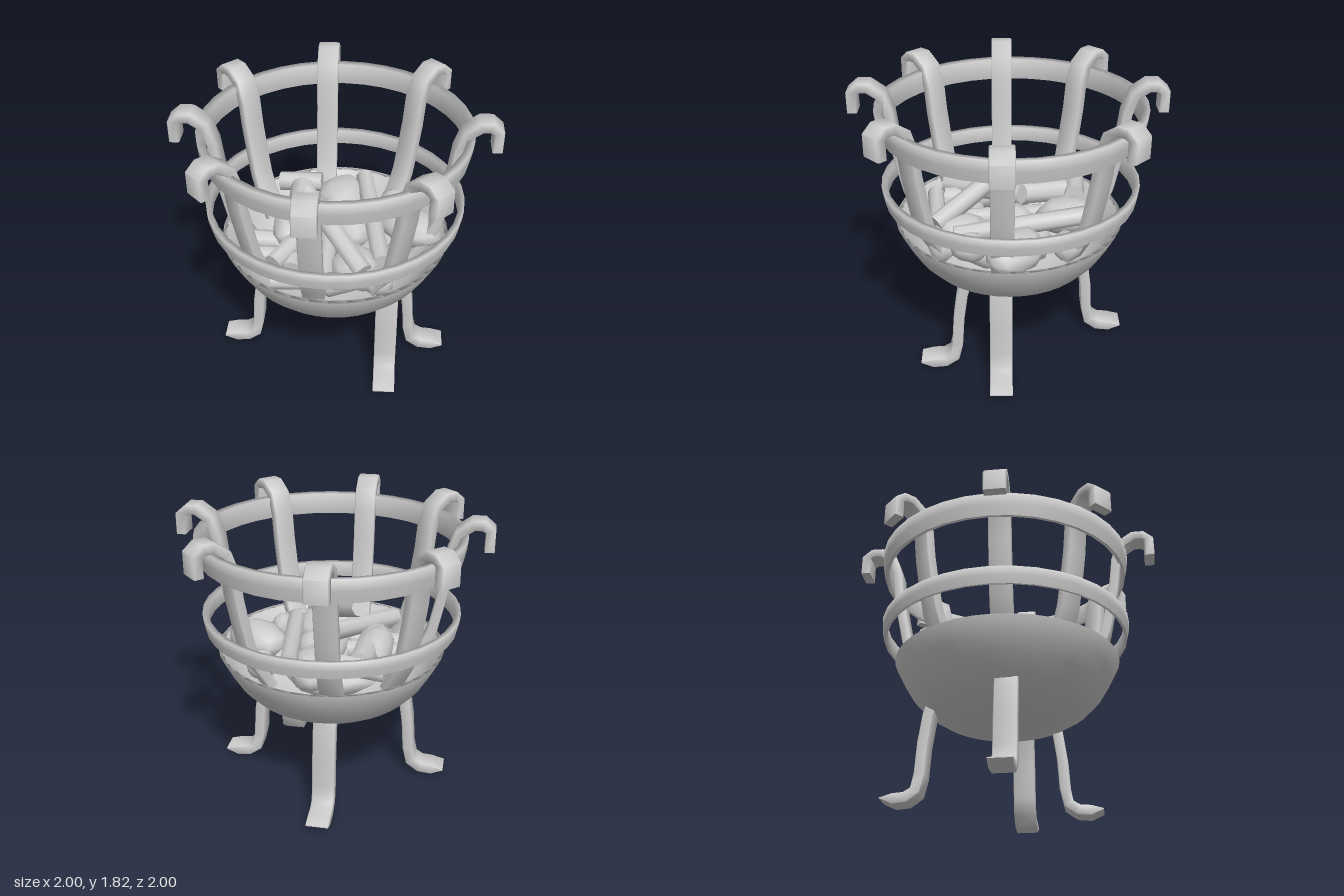
import * as THREE from 'three';
import { mergeVertices, toCreasedNormals } from 'three/addons/utils/BufferGeometryUtils.js';

const material = new THREE.MeshStandardMaterial({ color: 0xcccccc, side: THREE.DoubleSide });

function add(parent, name, geometry, x = 0, y = 0, z = 0) {
  const mesh = new THREE.Mesh(geometry, material);
  mesh.name = name;
  mesh.position.set(x, y, z);
  parent.add(mesh);
  return mesh;
}

// Flat iron bar with slightly softened edges, swept along a path in the local x-y plane
function barGeometry(path, halfWidth, halfThick, tipScale = 1) {
  const section = [[1, 0.92], [0.8, 1], [-0.8, 1], [-1, 0.92], [-1, -0.92], [-0.8, -1], [0.8, -1], [1, -0.92]];
  const n = section.length, last = path.length - 1, pos = [], index = [];
  path.forEach(([x, y], i) => {
    const a = path[Math.max(i - 1, 0)], b = path[Math.min(i + 1, last)];
    const t = new THREE.Vector2(b[0] - a[0], b[1] - a[1]).normalize();
    const thick = halfThick * (i === last ? tipScale : 1);
    for (const [v, u] of section) pos.push(x - t.y * v * thick, y + t.x * v * thick, u * halfWidth);
  });
  for (let i = 0; i < last; i++) {
    for (let j = 0; j < n; j++) {
      const a = i * n + j, b = i * n + (j + 1) % n;
      index.push(a, b, b + n, a, b + n, a + n);
    }
  }
  for (let j = 1; j < n - 1; j++) {
    index.push(0, j + 1, j, last * n, last * n + j, last * n + j + 1);
  }
  const geometry = new THREE.BufferGeometry();
  geometry.setAttribute('position', new THREE.Float32BufferAttribute(pos, 3));
  geometry.setIndex(index);
  return toCreasedNormals(geometry, 1.1);
}

const lathe = (points, segments) => new THREE.LatheGeometry(points.map(p => new THREE.Vector2(...p)), segments);

// Lumpy coal: a coarse sphere pushed in and out by a few sine waves
function coalGeometry(seed) {
  let geometry = new THREE.IcosahedronGeometry(1, 1);
  geometry.deleteAttribute('normal');
  geometry.deleteAttribute('uv');
  geometry = mergeVertices(geometry, 1e-3);
  const p = geometry.attributes.position, v = new THREE.Vector3();
  for (let i = 0; i < p.count; i++) {
    v.fromBufferAttribute(p, i);
    const k = 1 + 0.07 * Math.sin(3 * v.x + seed) + 0.08 * Math.sin(4 * v.y + 2 * seed) * Math.cos(3 * v.z + seed);
    p.setXYZ(i, v.x * k, v.y * k, v.z * k);
  }
  geometry.computeVertexNormals();
  return geometry;
}

function log(parent, from, to, radius) {
  const a = new THREE.Vector3(...from), b = new THREE.Vector3(...to);
  const dir = b.clone().sub(a);
  const geometry = toCreasedNormals(new THREE.CylinderGeometry(radius, radius, dir.length(), 8), 1);
  const mesh = add(parent, 'log', geometry, ...a.add(b).multiplyScalar(0.5).toArray());
  mesh.quaternion.setFromUnitVectors(new THREE.Vector3(0, 1, 0), dir.normalize());
}

export function createModel() {
  const model = new THREE.Group();
  model.name = 'fireBasket';

  // Bowl with a thin wall
  add(model, 'bowl', lathe([
    [0, 0.498], [0.14, 0.505], [0.29, 0.535], [0.43, 0.585], [0.54, 0.655], [0.62, 0.74], [0.68, 0.84], [0.735, 0.95],
    [0.705, 0.945], [0.65, 0.845], [0.59, 0.76], [0.51, 0.685], [0.41, 0.62], [0.27, 0.57], [0, 0.535],
  ], 40), 0, 0, -0.005);

  // Two flared hoops with a straight inner face
  const hoop = (r0, y0, r1, y1, inner) => lathe([
    [r0, y0], [(r0 + r1) / 2 + 0.004, (y0 + y1) / 2], [r1, y1], [inner, y1 - 0.005], [inner, y0 + 0.005], [r0, y0],
  ], 36);
  add(model, 'upperHoop', hoop(0.82, 1.58, 0.842, 1.728, 0.795), 0, 0, -0.02);
  add(model, 'lowerHoop', hoop(0.805, 1.11, 0.822, 1.22, 0.785), -0.003, 0, -0.015);

  // Eight upright straps that hook outward over the upper hoop
  const strap = barGeometry([
    [0.51, 0.82], [0.55, 0.89], [0.605, 0.98], [0.652, 1.1], [0.688, 1.27], [0.722, 1.45], [0.742, 1.62],
    [0.785, 1.745], [0.865, 1.8], [0.925, 1.8], [0.968, 1.768], [0.968, 1.64],
  ], 0.07, 0.031);
  const strapCentres = [[0, 0.04], [-0.03, -0.03], [-0.1, 0], [-0.07, 0.06]];
  for (let i = 0; i < 8; i++) {
    const [x, z] = strapCentres[i % 4];
    add(model, 'hookedStrap', strap, x, 0, z).rotation.y = i * Math.PI / 4;
  }

  // Four legs with turned-out, pointed feet; the local origin is the toe
  const leg = barGeometry([
    [-0.305, 0.66], [-0.285, 0.59], [-0.258, 0.4], [-0.245, 0.2], [-0.222, 0.095], [-0.16, 0.052], [-0.08, 0.045], [0, 0.052],
  ], 0.072, 0.035, 0.1);
  const legs = [[0.755, 0.05, 0], [-0.05, -0.785, 1], [-0.775, 0.05, 2], [0.355, 0.58, 3]];
  for (const [x, z, turn] of legs) add(model, 'leg', leg, x, 0, z).rotation.y = turn * Math.PI / 2;

  // Firewood: flat-lying pieces and two leaning on top
  const fuel = new THREE.Group();
  fuel.name = 'fuel';
  model.add(fuel);
  log(fuel, [-0.41, 1.0, -0.46], [-0.12, 1.02, -0.44], 0.065);
  log(fuel, [-0.25, 1.0, -0.4], [-0.25, 0.92, 0.42], 0.083);
  log(fuel, [0.17, 1.03, -0.51], [0.31, 0.96, 0.34], 0.06);
  log(fuel, [-0.51, 0.88, 0.22], [-0.08, 0.88, 0.22], 0.065);
  log(fuel, [-0.53, 0.88, 0.06], [-0.1, 0.87, 0.06], 0.07);
  log(fuel, [-0.37, 0.91, 0.5], [0.1, 0.89, 0.45], 0.055);
  log(fuel, [-0.04, 0.93, -0.22], [-0.04, 0.88, 0.43], 0.06);
  log(fuel, [-0.19, 1.22, -0.02], [0.2, 0.98, 0.46], 0.063);
  log(fuel, [-0.03, 1.07, -0.09], [-0.36, 0.98, 0.42], 0.063);

  // Coals: position, radii and turn about y
  const coals = [
    [0.02, 0.95, -0.38, 0.165, 0.12, 0.21, 0], [0.49, 0.96, -0.04, 0.25, 0.11, 0.15, -0.6],
    [-0.29, 0.96, -0.03, 0.12, 0.11, 0.22, 0], [0.38, 0.93, -0.36, 0.09, 0.1, 0.1, 0.4],
    [0.14, 0.9, 0.32, 0.16, 0.12, 0.18, 0.4], [0.39, 0.92, 0.25, 0.08, 0.1, 0.11, 0],
    [0.1, 0.92, -0.04, 0.13, 0.13, 0.15, 0.8], [0.29, 0.88, 0.42, 0.1, 0.1, 0.09, 0.2],
    [-0.02, 0.74, 0.05, 0.34, 0.13, 0.34, 0],
  ];
  coals.forEach(([x, y, z, rx, ry, rz, turn], i) => {
    const coal = add(fuel, 'coal', coalGeometry(i * 1.7), x, y, z);
    coal.scale.set(rx, ry, rz);
    coal.rotation.y = turn;
  });

  return model;
}
